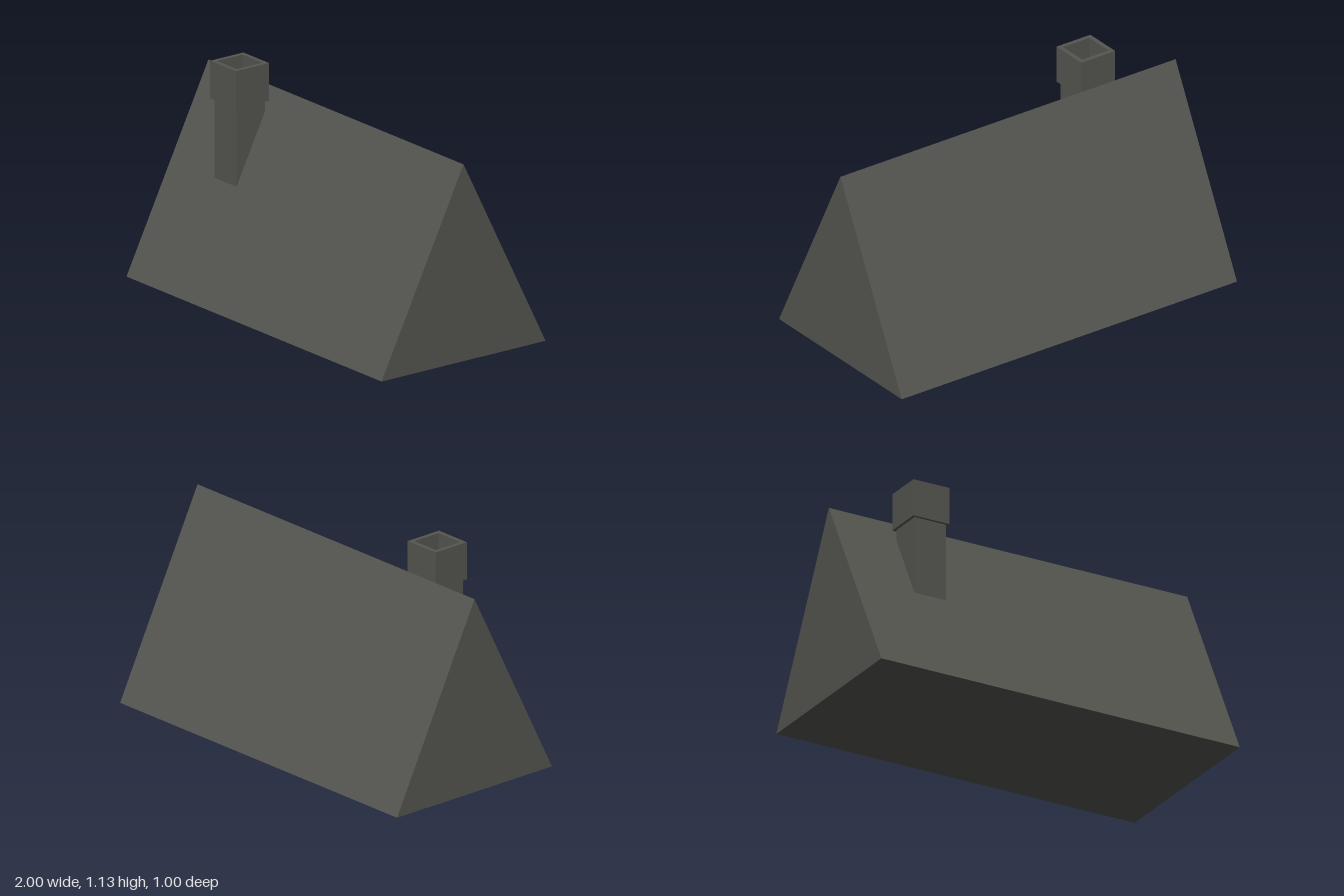
import * as THREE from 'three';

export function createModel() {
  const group = new THREE.Group();
  const slate = new THREE.MeshStandardMaterial({ color: 0x555650 });
  slate.name = 'darkSlate';

  const add = (name, geometry, x, y, z) => {
    const mesh = new THREE.Mesh(geometry, slate);
    mesh.name = name;
    mesh.position.set(x, y, z);
    group.add(mesh);
    return mesh;
  };
  const square = (PathType, half) => new PathType([
    [-half, -half], [half, -half], [half, half], [-half, half],
  ].map(([x, y]) => new THREE.Vector2(x, y)));

  // Gabled roof: triangular section run along x
  const gable = new THREE.Shape([
    new THREE.Vector2(-0.5, 0), new THREE.Vector2(0.5, 0), new THREE.Vector2(0, 1),
  ]);
  const roof = new THREE.ExtrudeGeometry(gable, { depth: 2, bevelEnabled: false });
  roof.translate(0, 0, -1).rotateY(Math.PI / 2);
  add('roof', roof, 0, 0, 0);

  // Chimney stack, sunk into the front slope
  const chimneyX = -0.57, chimneyZ = 0.144;
  const stackBottom = 0.5, capBottom = 0.94, capTop = 1.132;
  const stackHeight = capBottom - stackBottom;
  add('chimneyStack', new THREE.BoxGeometry(0.174, stackHeight, 0.174),
    chimneyX, stackBottom + stackHeight / 2, chimneyZ);

  // Hollow square chimney cap, closed below by the stack
  const rim = square(THREE.Shape, 0.101);
  rim.holes.push(square(THREE.Path, 0.078));
  const cap = new THREE.ExtrudeGeometry(rim, { depth: capTop - capBottom, bevelEnabled: false });
  cap.rotateX(-Math.PI / 2);
  add('chimneyCap', cap, chimneyX, capBottom, chimneyZ);

  return group;
}
